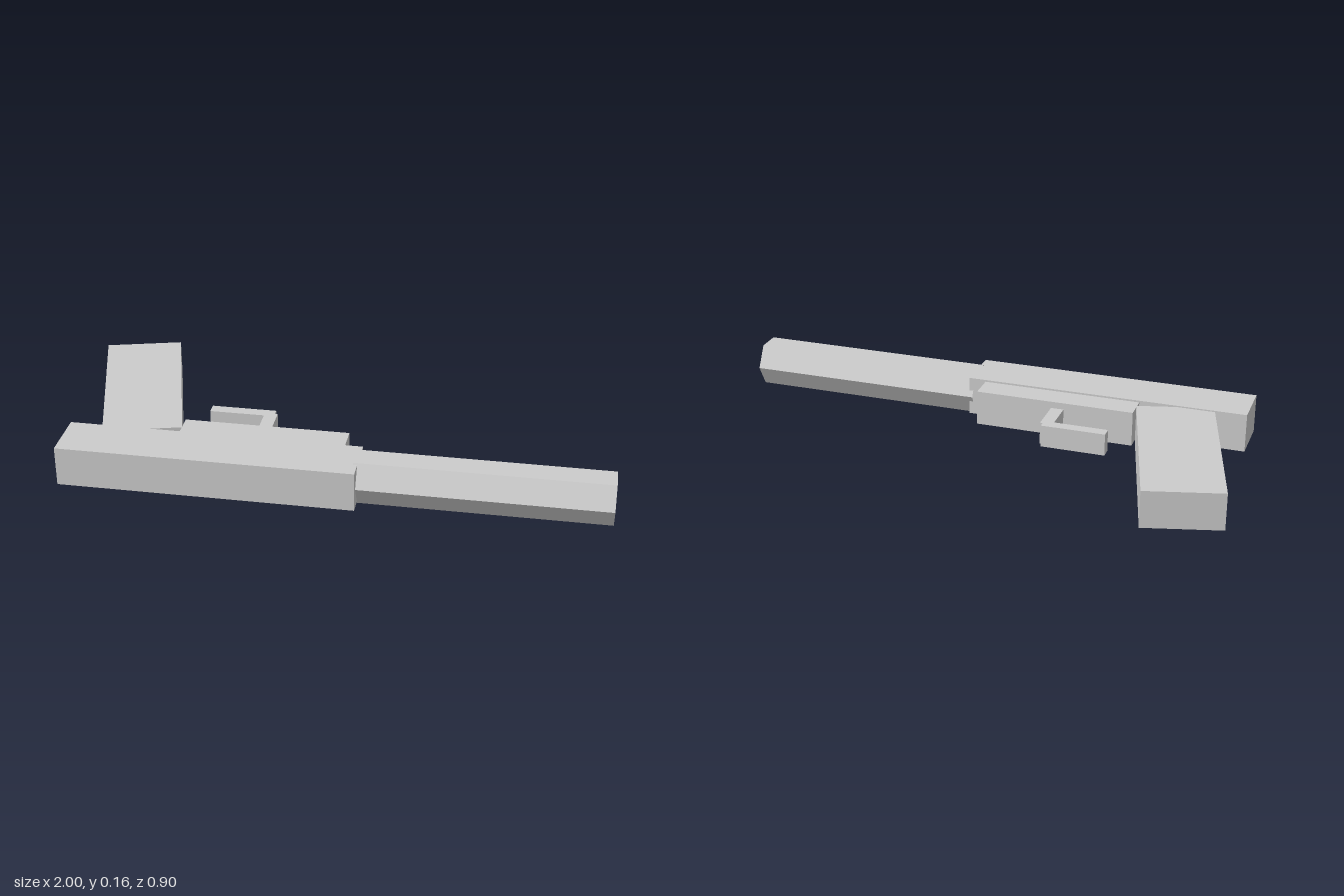
import * as THREE from 'three';

export function createModel() {
  const model = new THREE.Group();
  const grey = new THREE.MeshStandardMaterial({ color: 0xcccccc, flatShading: true });
  grey.name = 'light grey';
  // thin open barrel shell, same colour, seen from both sides
  const shell = grey.clone();
  shell.name = 'light grey shell';
  shell.side = THREE.DoubleSide;

  // box from its minimum and maximum corners
  function box(name, [x0, y0, z0], [x1, y1, z1]) {
    const mesh = new THREE.Mesh(new THREE.BoxGeometry(x1 - x0, y1 - y0, z1 - z0), grey);
    mesh.name = name;
    mesh.position.set((x0 + x1) / 2, (y0 + y1) / 2, (z0 + z1) / 2);
    model.add(mesh);
    return mesh;
  }

  // main body and the lower frame beside it
  box('slide', [-0.95, 0.009, 0.258], [0.115, 0.155, 0.45]);
  box('frame', [-0.55, 0.016, 0.158], [0.05, 0.148, 0.262]);

  // slanted handle
  const grip = box('grip', [-0.9175, 0.013, -0.4235], [-0.6325, 0.15, 0.2685]);
  grip.rotation.y = THREE.MathUtils.degToRad(15);

  // L-shaped trigger
  box('triggerPost', [-0.288, 0.04, 0.018], [-0.24, 0.123, 0.16]);
  box('triggerBar', [-0.49, 0.04, -0.005], [-0.25, 0.123, 0.037]);

  // hollow six-sided barrel, flat on top and bottom
  const tube = new THREE.CylinderGeometry(0.0925, 0.0925, 0.9, 6, 1, true);
  tube.rotateZ(-Math.PI / 2);
  const barrel = new THREE.Mesh(tube, shell);
  barrel.name = 'barrel';
  barrel.position.set(0.55, 0.081, 0.3375);
  model.add(barrel);

  return model;
}
